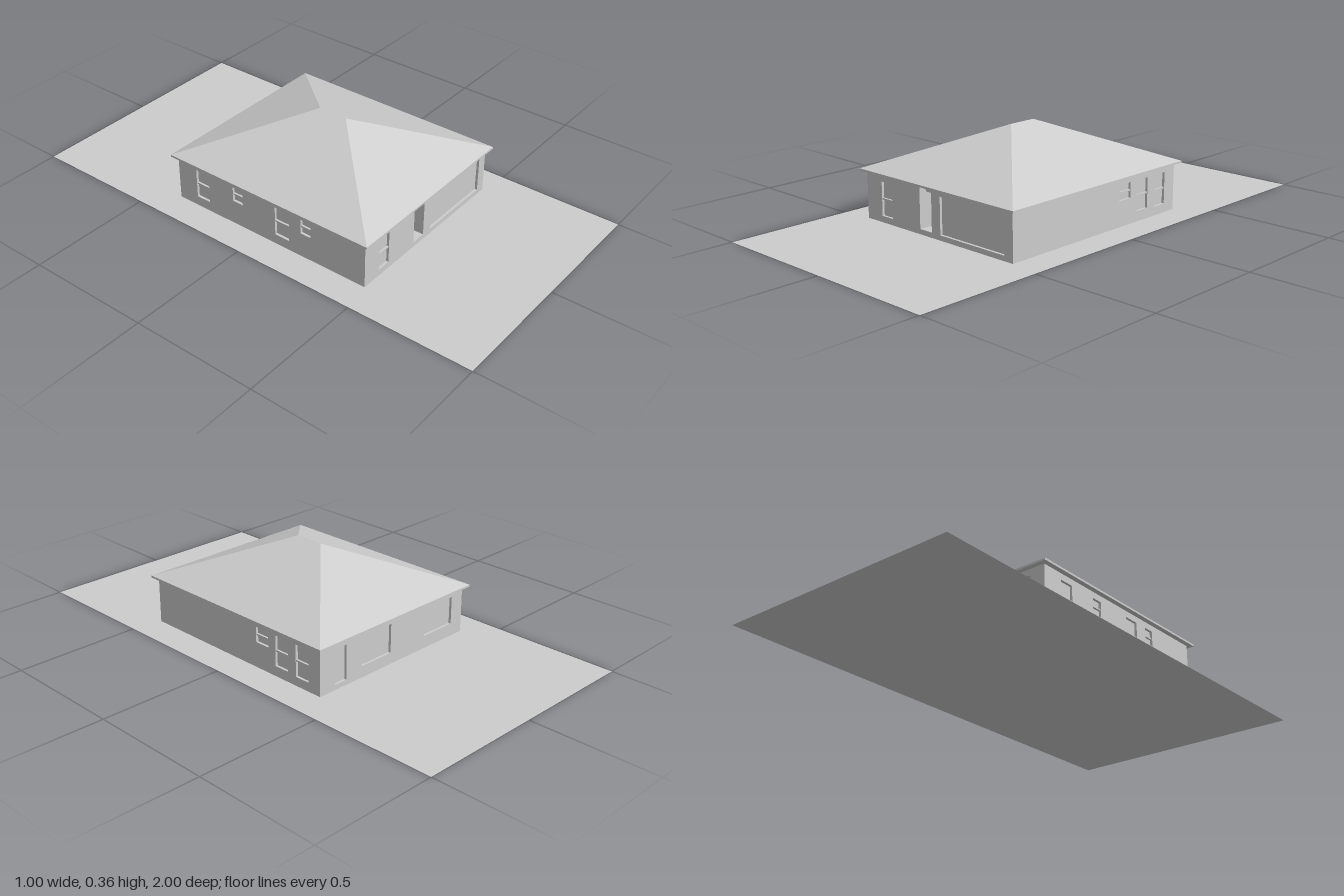
import * as THREE from 'three';

const grey = new THREE.MeshStandardMaterial({ color: 0xcccccc, side: THREE.DoubleSide });
grey.name = 'plain grey';

const WALL_H = 0.187, SKIN = 0.01;

function add(parent, name, geometry, x = 0, y = 0, z = 0) {
  const mesh = new THREE.Mesh(geometry, grey);
  mesh.name = name;
  mesh.position.set(x, y, z);
  parent.add(mesh);
  return mesh;
}

// Box given by its lower and upper corners
function block(parent, name, [x0, y0, z0], [x1, y1, z1]) {
  return add(parent, name, new THREE.BoxGeometry(x1 - x0, y1 - y0, z1 - z0),
    (x0 + x1) / 2, (y0 + y1) / 2, (z0 + z1) / 2);
}

function rect(target, [u0, u1, v0, v1]) {
  target.moveTo(u0, v0);
  target.lineTo(u1, v0);
  target.lineTo(u1, v1);
  target.lineTo(u0, v1);
  target.closePath();
  return target;
}

// Upright sheet with rectangular holes
function sheet(half, holes) {
  const shape = rect(new THREE.Shape(), [-half, half, 0, WALL_H]);
  for (const h of holes) shape.holes.push(rect(new THREE.Path(), h));
  return new THREE.ExtrudeGeometry(shape, { depth: SKIN, bevelEnabled: false });
}

// Wall with shallow openings [left, right, bottom, top, hasRail] and holes right through
function wall(name, half, openings, through = []) {
  const g = new THREE.Group();
  g.name = name;
  add(g, name + 'Skin', sheet(half, openings), 0, 0, -SKIN);
  add(g, name + 'Backing', sheet(half - SKIN, through), 0, 0, -2 * SKIN);
  for (const [u0, u1, v0, v1, rail] of openings) {
    if (!rail) continue;
    const mid = (v0 + v1) / 2;
    block(g, 'windowRail', [u0, mid - 0.003, -SKIN], [u1, mid + 0.003, -0.002]);
  }
  return g;
}

// Hipped roof: eave corners 0-3, ridge ends 4-5
function hipRoof(x, zBack, zFront, ridgeBack, ridgeFront, y0, y1) {
  const p = [[-x, y0, zFront], [x, y0, zFront], [x, y0, zBack], [-x, y0, zBack],
    [0, y1, ridgeFront], [0, y1, ridgeBack]];
  const faces = [0, 1, 4, 1, 2, 5, 1, 5, 4, 2, 3, 5, 3, 0, 4, 3, 4, 5];
  const geo = new THREE.BufferGeometry();
  geo.setAttribute('position', new THREE.Float32BufferAttribute(faces.flatMap(i => p[i]), 3));
  geo.computeVertexNormals();
  return geo;
}

export function createModel() {
  const model = new THREE.Group();
  model.name = 'house';

  // Plot of land
  const plot = add(model, 'ground', new THREE.PlaneGeometry(1, 2));
  plot.rotation.x = -Math.PI / 2;

  const house = new THREE.Group();
  house.name = 'building';
  house.position.z = 0.04;
  model.add(house);

  // Front: window, entrance, garage door with a gap along its top
  const entrance = [-0.087, -0.025, 0.02, 0.184];
  const front = wall('frontWall', 0.38,
    [[-0.298, -0.24, 0.025, 0.157, true], entrance, [0.02, 0.34, 0.02, 0.163]],
    [entrance, [0.02, 0.34, 0.159, 0.163]]);
  front.position.z = 0.44;

  // Entrance porch
  const [l, r, b, t] = entrance, back = -0.06;
  block(front, 'porchFloor', [l, b - 0.004, back], [r, b, -SKIN]);
  block(front, 'frontDoor', [l, b, back - 0.005], [r, t, back]);
  block(front, 'doorLintel', [l, 0.155, back], [r, t, -0.03]);
  block(front, 'porchSide', [l - 0.004, b, back], [l, t, -SKIN]);
  block(front, 'porchSide', [r, b, back], [r + 0.004, t, -SKIN]);

  // Back: a door and two wide windows
  const rear = wall('backWall', 0.38, [
    [-0.308, -0.25, 0.02, 0.157], [-0.174, -0.02, 0.045, 0.16], [0.166, 0.32, 0.05, 0.16]]);
  rear.position.z = -0.44;
  rear.rotation.y = Math.PI;

  // Sides: tall and small windows
  const east = wall('leftWall', 0.43, [
    [0.116, 0.18, 0.1, 0.16, true], [0.217, 0.28, 0.04, 0.16, true], [0.32, 0.383, 0.035, 0.16, true]]);
  east.position.x = 0.38;
  east.rotation.y = Math.PI / 2;

  const west = wall('rightWall', 0.43, [
    [-0.35, -0.287, 0.04, 0.16, true], [-0.167, -0.12, 0.1, 0.16, true],
    [0.035, 0.1, 0.04, 0.16, true], [0.155, 0.2, 0.1, 0.16, true]]);
  west.position.x = -0.38;
  west.rotation.y = -Math.PI / 2;
  house.add(front, rear, east, west);

  // Eaves and roof
  block(house, 'eaves', [-0.4, 0.185, -0.46], [0.4, 0.193, 0.46]);
  add(house, 'roof', hipRoof(0.4, -0.46, 0.46, -0.06, 0.06, 0.193, 0.36));

  return model;
}
